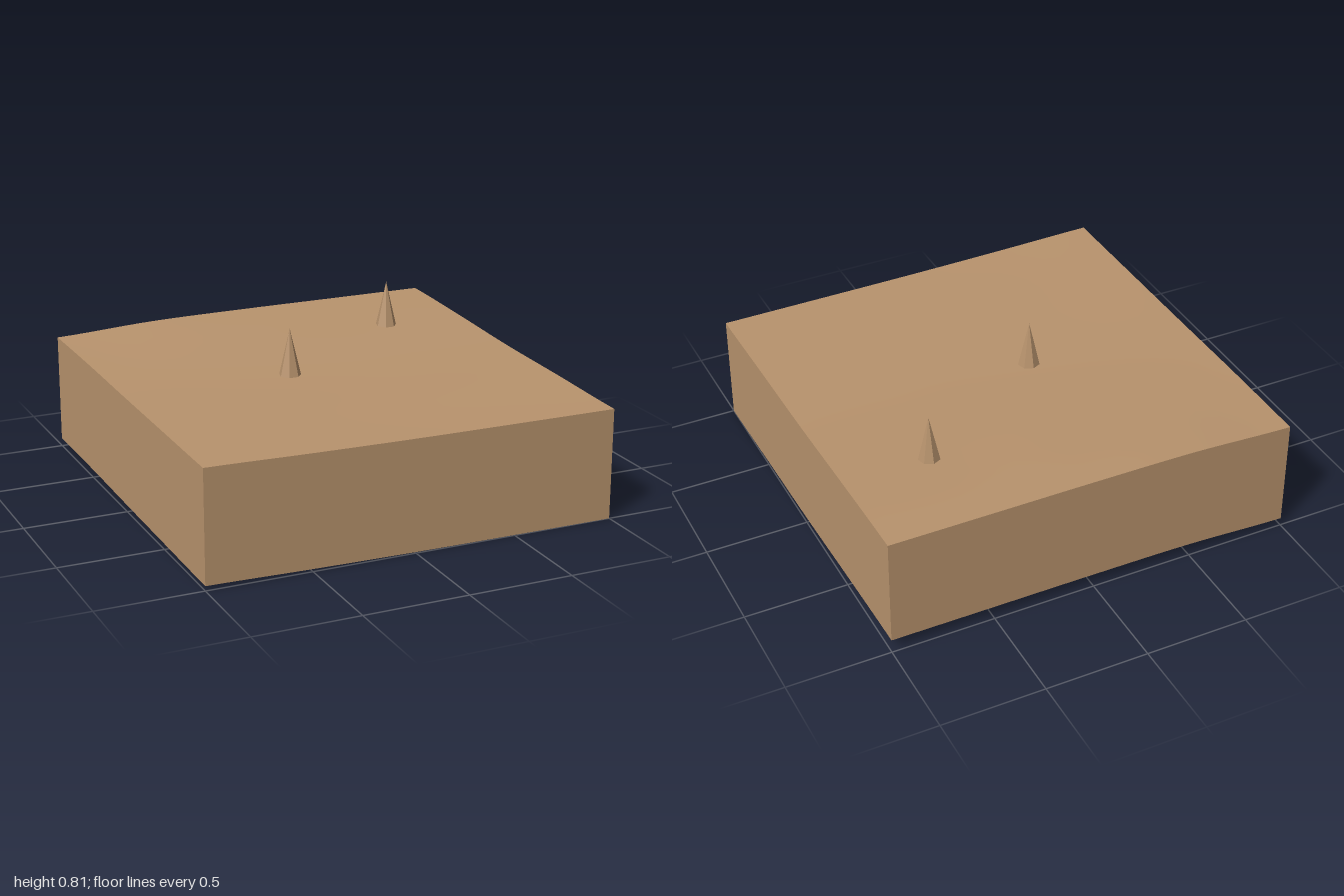
import * as THREE from 'three';

// Ground heights: rows run back to front, columns from -x to +x
const HEIGHTS = [
  [0.574, 0.598, 0.603, 0.603, 0.603],
  [0.573, 0.582, 0.585, 0.584, 0.585],
  [0.566, 0.562, 0.560, 0.561, 0.562],
  [0.561, 0.554, 0.550, 0.549, 0.549],
  [0.556, 0.546, 0.539, 0.536, 0.534],
];
const DEPTH = 0.534; // drop of the side walls
const STEPS = 24;

// Smooth interpolation through five evenly spaced values, t from -1 to 1
function smooth(values, t) {
  const s = THREE.MathUtils.clamp((t + 1) * 2, 0, 4);
  const i = Math.min(Math.floor(s), 3);
  const f = s - i;
  const [a, b, c, d] = [-1, 0, 1, 2].map((k) => values[THREE.MathUtils.clamp(i + k, 0, 4)]);
  return b + 0.5 * f * (c - a + f * (2 * a - 5 * b + 4 * c - d + f * (3 * (b - c) + d - a)));
}

const groundHeight = (x, z) => smooth(HEIGHTS.map((row) => smooth(row, x)), z);

// Lift each vertex onto the ground; vertices below y = 0 become the wall foot
function drape(geometry) {
  const p = geometry.attributes.position;
  for (let i = 0; i < p.count; i++) {
    const foot = p.getY(i) < -0.1 ? DEPTH : 0;
    p.setY(i, groundHeight(p.getX(i), p.getZ(i)) - foot);
  }
  geometry.computeVertexNormals();
  return geometry;
}

export function createModel() {
  const model = new THREE.Group();
  model.name = 'terrainTile';

  const earth = new THREE.MeshStandardMaterial({ color: 0xb8936d });
  earth.name = 'earth';
  earth.side = THREE.DoubleSide;
  const stone = earth.clone();
  stone.name = 'earthFaceted';
  stone.flatShading = true;

  const add = (name, geometry, material) => {
    const mesh = new THREE.Mesh(geometry, material);
    mesh.name = name;
    model.add(mesh);
    return mesh;
  };

  // Gently rolling top surface
  add('ground', drape(new THREE.PlaneGeometry(2, 2, STEPS, STEPS).rotateX(-Math.PI / 2)), earth);

  // Four side walls, open underneath
  ['frontWall', 'leftWall', 'backWall', 'rightWall'].forEach((name, k) => {
    const wall = new THREE.PlaneGeometry(2, 1, STEPS, 1).translate(0, 0, 1).rotateY(k * Math.PI / 2);
    add(name, drape(wall), earth);
  });

  // Seven-sided spikes standing on the ground
  [[-0.17, 0, 0.56], [0.58, -0.5, 0.58]].forEach(([x, z, base], i) => {
    const spike = new THREE.ConeGeometry(0.053, 0.228, 7).rotateY(Math.PI).translate(0, 0.114, 0);
    add('spike' + (i + 1), spike, stone).position.set(x, base, z);
  });

  return model;
}
